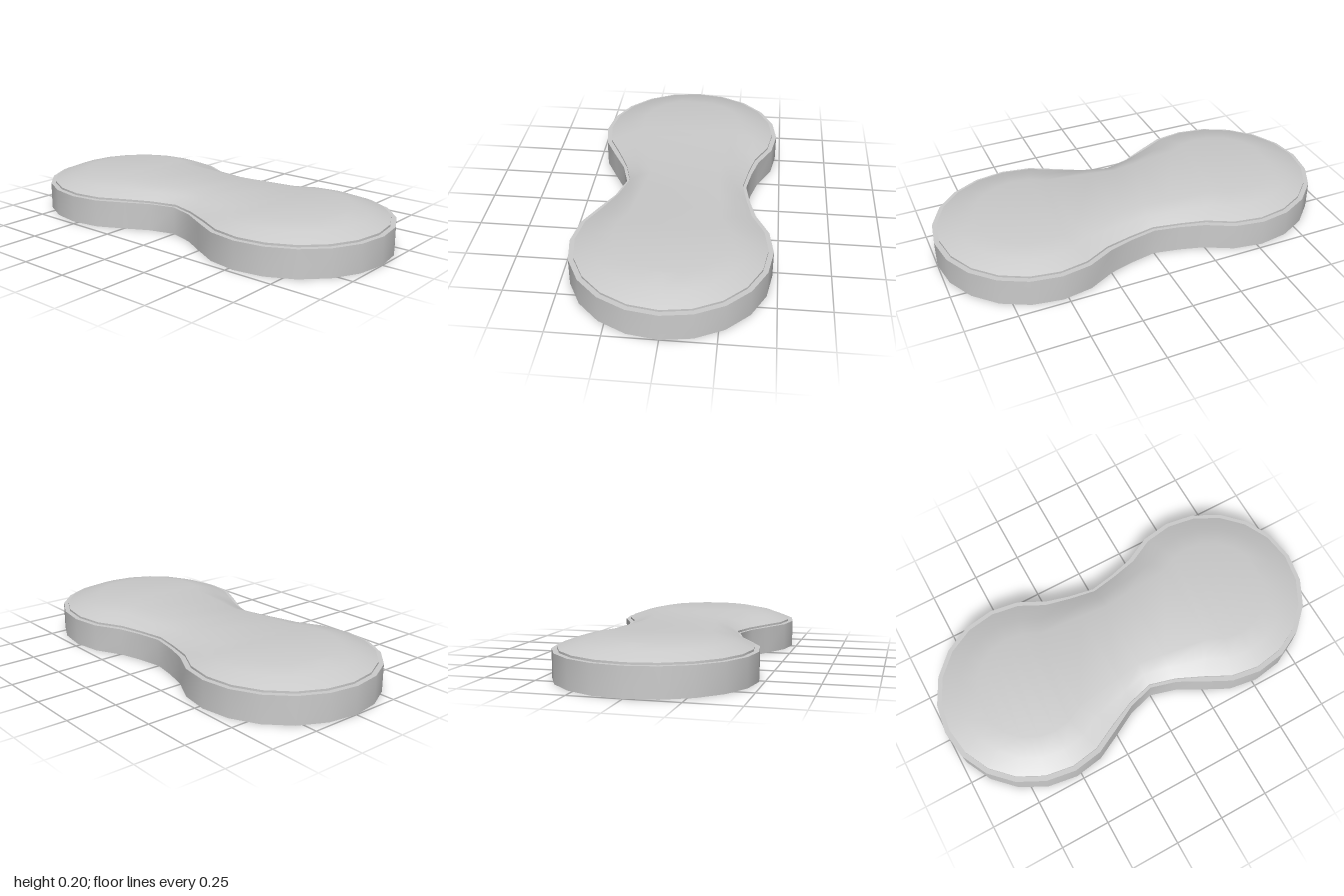
import * as THREE from 'three';
import { toCreasedNormals } from 'three/addons/utils/BufferGeometryUtils.js';

const LOBE_X = 0.525, LOBE_R = 0.475;

// Half of the outline, right lobe to left lobe, with a pinched neck; cx is the point each corner shrinks to.
function halfOutline(side, neckMid, neckCentre) {
  const lobe = [];
  for (let i = 0; i <= 7; i++) {
    const a = (i * Math.PI) / 10;
    lobe.push({ x: LOBE_X + LOBE_R * Math.cos(a), z: side * LOBE_R * Math.sin(a), cx: LOBE_X });
  }
  const mid = { x: 0.13, z: side * neckMid, cx: 0.13 };
  const right = [...lobe, mid];
  const left = right.map(p => ({ x: -p.x, z: p.z, cx: -p.cx })).reverse();
  return [...right, { x: 0, z: side * neckCentre, cx: 0 }, ...left];
}

const front = halfOutline(1, 0.322, 0.285);
const back = halfOutline(-1, 0.352, 0.328);
const outline = [...front, ...back.slice(1, -1).reverse()];

// Closed solid through stacked rings, each given as [scale, height].
function stack(rings) {
  const n = outline.length;
  const pos = [], index = [];
  for (const [s, y] of rings) {
    for (const p of outline) pos.push(p.cx + (p.x - p.cx) * s, y, p.z * s);
  }
  for (let r = 0; r < rings.length - 1; r++) {
    for (let i = 0; i < n; i++) {
      const j = (i + 1) % n, a = r * n, b = a + n;
      index.push(a + i, b + i, a + j, b + i, b + j, a + j);
    }
  }
  // Caps in strips from front edge to back edge
  const top = (rings.length - 1) * n;
  const cap = (a, b, c) => {
    if (a === b || b === c || a === c) return;
    index.push(top + a, top + b, top + c, a, c, b);
  };
  for (let i = 0; i < n / 2; i++) {
    const k = (n - i) % n;
    cap(i, k, i + 1);
    cap(k, n - i - 1, i + 1);
  }
  const g = new THREE.BufferGeometry();
  g.setAttribute('position', new THREE.Float32BufferAttribute(pos, 3));
  g.setIndex(index);
  return toCreasedNormals(g, 0.7);
}

export function createModel() {
  const group = new THREE.Group();
  const material = new THREE.MeshStandardMaterial({ color: 0xcccccc });
  const add = (name, rings) => {
    const mesh = new THREE.Mesh(stack(rings), material);
    mesh.name = name;
    group.add(mesh);
  };
  // Straight-sided slab
  add('base', [[1, 0], [1, 0.137]]);
  // Slightly inset, softly domed lid
  add('domedTop', [[0.948, 0.13], [0.948, 0.147], [0.765, 0.178], [0.57, 0.198]]);
  return group;
}
